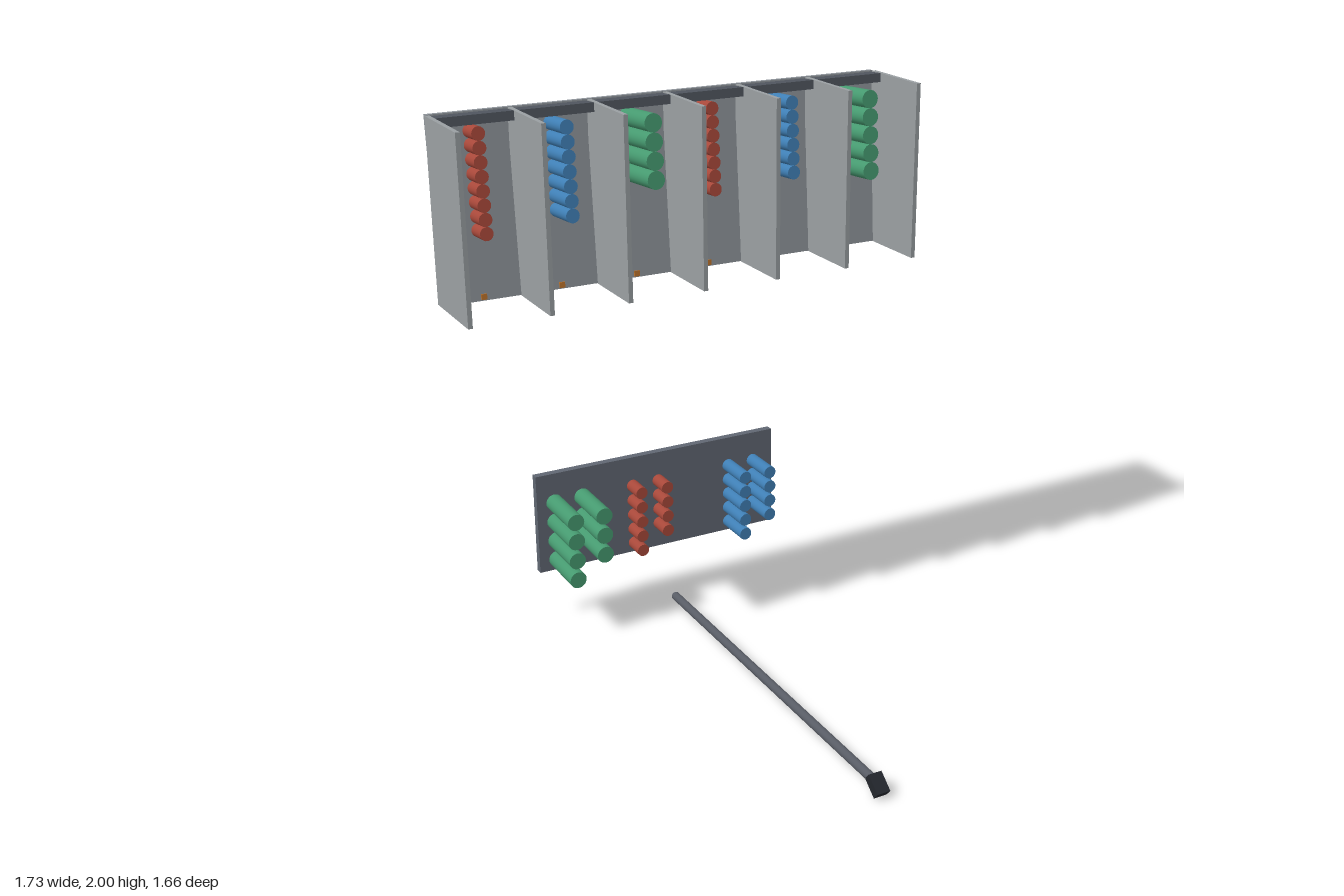
import * as THREE from 'three';

const mat = (color) => new THREE.MeshStandardMaterial({ color });
const MAT = {
  divider: mat(0x9a9fa2), panel: mat(0x8d9399), strip: mat(0x4f555e), board: mat(0x606772),
  rod: mat(0x585c65), tip: mat(0x23262d), pin: mat(0xb8702a),
};

// Three peg sizes
const PEGS = {
  red: { r: 0.0237, len: 0.085, mat: mat(0xa8483a) },
  blue: { r: 0.0247, len: 0.145, mat: mat(0x3f7fb5) },
  green: { r: 0.0322, len: 0.207, mat: mat(0x469a70) },
};

function box(parent, name, size, pos, material) {
  const m = new THREE.Mesh(new THREE.BoxGeometry(...size), material);
  m.position.set(...pos);
  m.name = name;
  parent.add(m);
  return m;
}

// Horizontal peg whose back end sits at (x, y, z), pointing to +z
function peg(parent, kind, x, y, z) {
  const { r, len, mat: material } = PEGS[kind];
  const geo = new THREE.CylinderGeometry(r, r, len, 24).rotateX(Math.PI / 2);
  const m = new THREE.Mesh(geo, material);
  m.position.set(x, y, z + len / 2);
  m.name = kind + 'Peg';
  parent.add(m);
}

function createRack() {
  const rack = new THREE.Group();
  rack.name = 'dispenserRack';
  const pitch = 1.71 / 6;

  // Upright dividers between the six bays
  for (let i = -3; i <= 3; i++) {
    box(rack, 'divider', [0.016, 0.64, 0.297], [i * pitch, 1.68, -0.5225], MAT.divider);
  }

  // Back panel leaning backwards, with its top strip and stacked pegs
  const back = new THREE.Group();
  back.name = 'leaningBack';
  back.position.set(0, 2, -0.68);
  back.rotation.x = -0.0706;
  rack.add(back);
  box(back, 'backPanel', [1.71, 0.64, 0.025], [0, -0.32, -0.0125], MAT.panel);
  box(back, 'topStrip', [1.694, 0.032, 0.067], [0, -0.021, 0.0335], MAT.strip);

  const stacks = [['red', 8], ['blue', 7], ['green', 4], ['red', 7], ['blue', 6], ['green', 5]];
  stacks.forEach(([kind, count], i) => {
    const x = (i - 2.5) * pitch, r = PEGS[kind].r;
    for (let k = 0; k < count; k++) peg(back, kind, x, -0.041 - r * (2 * k + 1), 0);
    // Small release pin at the foot of each bay
    box(back, 'pin', [0.02, 0.02, 0.04], [x, -0.626, -0.014], MAT.pin);
  });
  return rack;
}

function createPegBoard() {
  const board = new THREE.Group();
  board.name = 'pegBoard';
  box(board, 'boardPanel', [1, 0.395, 0.029], [0, 0.3985, -0.8185], MAT.board);
  // kind, column x, peg count, vertical spacing
  const columns = [
    ['green', -0.43, 4, 0.078], ['green', -0.317, 3, 0.078],
    ['red', -0.108, 5, 0.06], ['red', 0, 4, 0.06],
    ['blue', 0.306, 5, 0.06], ['blue', 0.414, 4, 0.06],
  ];
  for (const [kind, x, count, step] of columns) {
    for (let k = 0; k < count; k++) peg(board, kind, x, 0.48 - k * step, -0.804);
  }
  return board;
}

function createPole() {
  const pole = new THREE.Group();
  pole.name = 'pole';
  const rod = new THREE.Mesh(new THREE.CylinderGeometry(0.016, 0.016, 1.43, 20), MAT.rod);
  rod.rotation.x = Math.PI / 2;
  rod.position.set(0, 0.04, 0.045);
  rod.name = 'poleRod';
  pole.add(rod);
  // Angled head
  const head = box(pole, 'poleHead', [0.048, 0.033, 0.07], [0, 0.036, 0.79], MAT.tip);
  head.rotation.x = 0.68;
  return pole;
}

export function createModel() {
  const model = new THREE.Group();
  model.name = 'pegStation';
  model.add(createRack(), createPegBoard(), createPole());
  return model;
}
